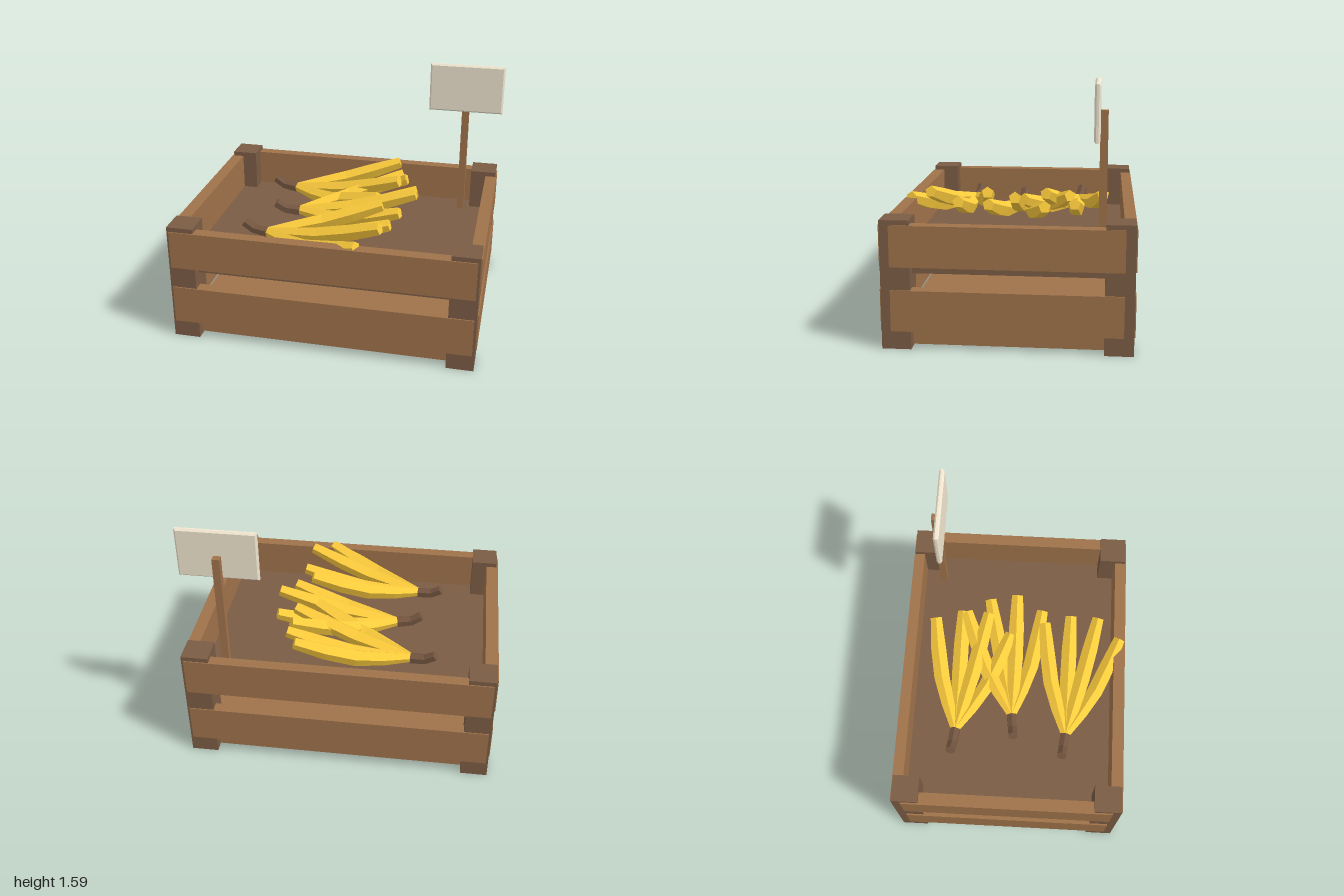
import * as THREE from 'three';

const mat = (color, flatShading = false) => new THREE.MeshStandardMaterial({ color, flatShading });
const plankMat = mat(0x9f724a);
const postMat = mat(0x7b5c44);
const signMat = mat(0xf0e6d0);
const bananaMat = mat(0xfccb3c, true);
const stemMat = mat(0x735540, true);

// Box given by its min and max corners
function box(name, material, [x0, y0, z0], [x1, y1, z1]) {
  const mesh = new THREE.Mesh(new THREE.BoxGeometry(x1 - x0, y1 - y0, z1 - z0), material);
  mesh.position.set((x0 + x1) / 2, (y0 + y1) / 2, (z0 + z1) / 2);
  mesh.name = name;
  return mesh;
}

// Closed faceted tube along a curve with a radius for each ring
function taperedTube(points, radii, sides) {
  const curve = new THREE.CatmullRomCurve3(points.map((p) => new THREE.Vector3(...p)));
  const n = radii.length;
  const pos = [];
  const index = [];
  const up = new THREE.Vector3(0, 1, 0);
  for (let i = 0; i < n; i++) {
    const t = i / (n - 1);
    const centre = curve.getPoint(t);
    const tangent = curve.getTangent(t);
    const side = new THREE.Vector3().crossVectors(tangent, up).normalize();
    const top = new THREE.Vector3().crossVectors(side, tangent);
    for (let j = 0; j < sides; j++) {
      const a = (j / sides) * Math.PI * 2;
      const v = centre.clone()
        .addScaledVector(side, Math.sin(a) * radii[i])
        .addScaledVector(top, Math.cos(a) * radii[i]);
      pos.push(v.x, v.y, v.z);
    }
  }
  for (let i = 0; i < n - 1; i++) {
    for (let j = 0; j < sides; j++) {
      const k = (j + 1) % sides;
      const a = i * sides + j, b = i * sides + k;
      index.push(a, b, a + sides, b, b + sides, a + sides);
    }
  }
  // End caps
  const last = (n - 1) * sides;
  for (let j = 1; j < sides - 1; j++) {
    index.push(0, j + 1, j, last, last + j, last + j + 1);
  }
  const geo = new THREE.BufferGeometry();
  geo.setAttribute('position', new THREE.Float32BufferAttribute(pos, 3));
  geo.setIndex(index);
  const flat = geo.toNonIndexed();
  flat.computeVertexNormals();
  return flat;
}

// Four bananas fanning out from one stem; origin is where they meet
function bananaBunch() {
  const bunch = new THREE.Group();
  bunch.name = 'bananaBunch';
  // tip x, tip y, tip z, sideways bow, middle height
  const fruits = [
    [0.74, 0.82, -0.175, -0.03, 0.69],
    [0.82, 0.77, 0.005, 0, 0.645],
    [0.79, 0.83, 0.19, 0.005, 0.695],
    [0.67, 0.765, 0.345, 0.03, 0.65],
  ];
  for (const [x, y, z, bow, midY] of fruits) {
    const path = [[0, 0.635, 0], [x * 0.48, midY, z * 0.48 + bow], [x, y, z]];
    const banana = new THREE.Mesh(
      taperedTube(path, [0.028, 0.046, 0.055, 0.054, 0.04], 5), bananaMat);
    banana.name = 'banana';
    bunch.add(banana);
  }
  const stem = new THREE.Mesh(
    taperedTube([[-0.155, 0.68, -0.02], [-0.09, 0.64, -0.012], [0.005, 0.63, 0]],
      [0.034, 0.035, 0.038], 6), stemMat);
  stem.name = 'stem';
  bunch.add(stem);
  return bunch;
}

export function createModel() {
  const model = new THREE.Group();
  model.name = 'bananaCrate';

  // Corner posts
  for (const [x0, x1] of [[-0.99, -0.818], [0.803, 0.977]]) {
    for (const [z0, z1] of [[-0.75, -0.575], [0.57, 0.747]]) {
      model.add(box('cornerPost', postMat, [x0, 0, z0], [x1, 0.79, z1]));
    }
  }

  // Two rows of planks on all four sides
  for (const [y0, y1] of [[0.113, 0.366], [0.508, 0.76]]) {
    model.add(box('frontPlank', plankMat, [-0.975, y0, 0.678], [0.962, y1, 0.755]));
    model.add(box('backPlank', plankMat, [-0.975, y0, -0.757], [0.962, y1, -0.685]));
    model.add(box('leftPlank', plankMat, [0.907, y0, -0.69], [0.985, y1, 0.69]));
    model.add(box('rightPlank', plankMat, [-1, y0, -0.69], [-0.918, y1, 0.69]));
  }

  // Tray floor and base board
  model.add(box('trayFloor', postMat, [-0.92, 0.453, -0.687], [0.909, 0.511, 0.68]));
  model.add(box('baseBoard', plankMat, [-0.925, 0.012, -0.69], [0.915, 0.088, 0.685]));

  // Sign stake and chamfered sign board
  model.add(box('signStake', plankMat, [0.717, 0.5, -0.577], [0.765, 1.42, -0.53]));
  const w = 0.242, h = 0.155, bevel = 0.011;
  const outline = new THREE.Shape([
    new THREE.Vector2(-w, -h), new THREE.Vector2(w, -h),
    new THREE.Vector2(w, h), new THREE.Vector2(-w, h),
  ]);
  const board = new THREE.Mesh(new THREE.ExtrudeGeometry(outline, {
    depth: 0.014, bevelEnabled: true, bevelSegments: 1, bevelSize: bevel, bevelThickness: bevel,
  }), signMat);
  board.position.set(0.743, 1.424, -0.522);
  board.name = 'signBoard';
  model.add(board);

  // Three bunches, the middle one turned
  for (const [x, z, turn] of [[-0.45, -0.38, 0], [-0.33, 0, 0.24], [-0.45, 0.37, 0]]) {
    const bunch = bananaBunch();
    bunch.position.set(x, 0, z);
    bunch.rotation.y = turn;
    model.add(bunch);
  }

  return model;
}
